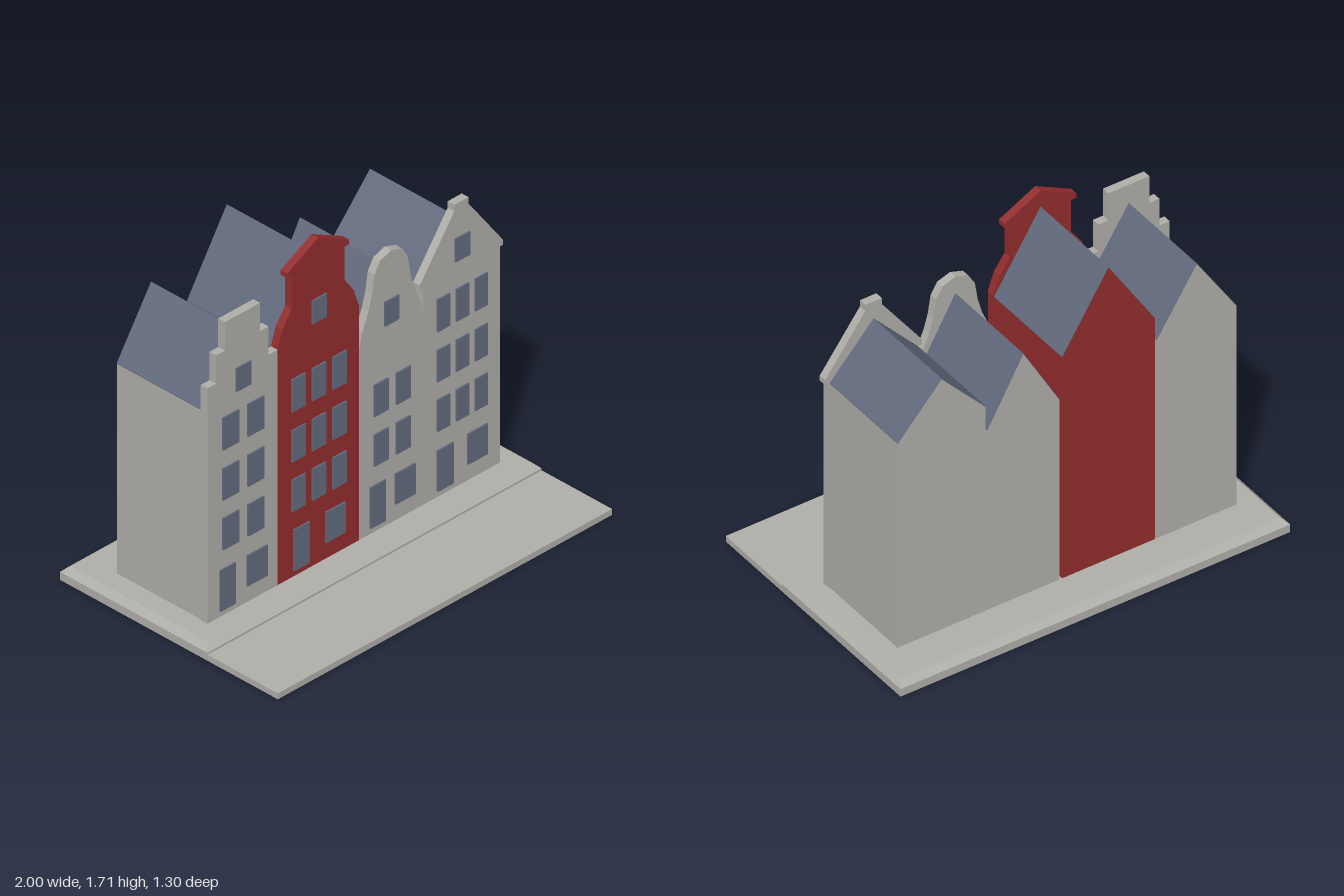
import * as THREE from 'three';

const stone = new THREE.MeshStandardMaterial({ name: 'stone grey', color: 0xb0aea8 });
const red = new THREE.MeshStandardMaterial({ name: 'brick red', color: 0x932d2d });
const slate = new THREE.MeshStandardMaterial({ name: 'slate blue', color: 0x626a7d });

const GROUND = 0.07, BACK = -0.44, WALL = 0.065, FACE = 0.105;
const ROWS = [[0.404, 0.564], [0.655, 0.815], [0.908, 1.072]];

// Each gable lists half-width and height up one side, from the eave to the top.
const HOUSES = [
  { name: 'stepGableHouse', x: -0.665, half: 0.21, eave: 1.13, ridge: 1.45, mat: stone,
    gable: [[0.21, 1.26], [0.157, 1.26], [0.157, 1.403], [0.105, 1.403], [0.105, 1.547]],
    cols: [[-0.787, -0.69], [-0.637, -0.54]], floors: 3, attic: [-0.706, -0.62, 1.167, 1.286],
    door: [-0.803, -0.711], shop: [-0.642, -0.52] },
  { name: 'redNeckGableHouse', x: -0.212, half: 0.243, eave: 1.25, ridge: 1.63, mat: red,
    gable: [[0.243, 1.26], [0.213, 1.35], [0.157, 1.428], [0.157, 1.595], [0.185, 1.595], [0.185, 1.618], [0, 1.714]],
    cols: [[-0.375, -0.294], [-0.251, -0.171], [-0.129, -0.048]], floors: 3, attic: [-0.251, -0.166, 1.297, 1.415],
    door: [-0.364, -0.268], shop: [-0.171, -0.054] },
  { name: 'bellGableHouse', x: 0.225, half: 0.19, eave: 1.03, ridge: 1.36, mat: stone,
    gable: [[0.19, 1.04], [0.173, 1.115], [0.136, 1.2], [0.114, 1.28], [0.1, 1.37], [0.066, 1.425], [0, 1.447]],
    cols: [[0.118, 0.203], [0.251, 0.336]], floors: 2, attic: [0.182, 0.267, 1.083, 1.206],
    door: [0.096, 0.187], shop: [0.246, 0.364] },
  { name: 'pointedGableHouse', x: 0.645, half: 0.23, eave: 1.16, ridge: 1.41, mat: stone,
    gable: [[0.23, 1.162], [0.249, 1.162], [0.249, 1.188], [0.042, 1.468], [0.042, 1.5]],
    cols: [[0.497, 0.572], [0.61, 0.684], [0.722, 0.797]], floors: 3, attic: [0.604, 0.69, 1.211, 1.329],
    door: [0.497, 0.593], shop: [0.679, 0.797] },
];

function add(parent, name, geometry, material) {
  const mesh = new THREE.Mesh(geometry, material);
  mesh.name = name;
  parent.add(mesh);
  return mesh;
}

// Extrudes an outline in x and y between two depths
function prism(points, z0, z1) {
  const shape = new THREE.Shape(points.map(([x, y]) => new THREE.Vector2(x, y)));
  return new THREE.ExtrudeGeometry(shape, { depth: z1 - z0, bevelEnabled: false }).translate(0, 0, z0);
}

function block(x0, x1, y0, y1, z0, z1) {
  return new THREE.BoxGeometry(x1 - x0, y1 - y0, z1 - z0)
    .translate((x0 + x1) / 2, (y0 + y1) / 2, (z0 + z1) / 2);
}

function makeHouse(h) {
  const house = new THREE.Group();
  house.name = h.name;
  const w = h.half - 0.005;

  // Walls with the plain back gable
  add(house, 'walls', prism([[h.x - w, GROUND], [h.x + w, GROUND], [h.x + w, h.eave],
    [h.x, h.ridge - 0.004], [h.x - w, h.eave]], BACK, WALL), h.mat);

  // Thin roof skin over both slopes
  add(house, 'roof', prism([[h.x - w, h.eave], [h.x, h.ridge - 0.004], [h.x + w, h.eave],
    [h.x + w, h.eave + 0.004], [h.x, h.ridge], [h.x - w, h.eave + 0.004]], BACK, WALL), slate);

  // Decorative front, mirrored about the house centre
  const rightSide = [[h.half, GROUND], ...h.gable];
  const leftSide = rightSide.filter(([d]) => d > 0).reverse().map(([d, y]) => [-d, y]);
  const outline = [...rightSide, ...leftSide].map(([d, y]) => [h.x + d, y]);
  add(house, 'facade', prism(outline, WALL, FACE), h.mat);

  // Windows and door
  const pane = (name, x0, x1, y0, y1) =>
    add(house, name, block(x0, x1, y0, y1, FACE, FACE + 0.008), slate);
  for (const [y0, y1] of ROWS.slice(0, h.floors)) {
    for (const [x0, x1] of h.cols) pane('window', x0, x1, y0, y1);
  }
  pane('atticWindow', ...h.attic);
  pane('door', ...h.door, 0.1, 0.308);
  pane('groundFloorWindow', ...h.shop, 0.153, 0.308);
  return house;
}

export function createModel() {
  const model = new THREE.Group();
  model.name = 'canalHouses';

  // Street in front and raised plinth behind
  add(model, 'street', block(-1, 1, 0, 0.03, 0.23, 0.65), stone);
  add(model, 'plinth', block(-1, 1, 0, 0.04, -0.65, 0.23), stone);

  // Chamfered top of the plinth
  const top = new THREE.BoxGeometry(2, 0.03, 0.88).toNonIndexed();
  const p = top.attributes.position;
  for (let i = 0; i < p.count; i++) {
    if (p.getY(i) > 0) {
      p.setX(i, p.getX(i) - Math.sign(p.getX(i)) * 0.03);
      p.setZ(i, p.getZ(i) - Math.sign(p.getZ(i)) * 0.03);
    }
  }
  top.computeVertexNormals();
  add(model, 'plinthChamfer', top.translate(0, 0.055, -0.21), stone);

  for (const h of HOUSES) model.add(makeHouse(h));
  return model;
}
